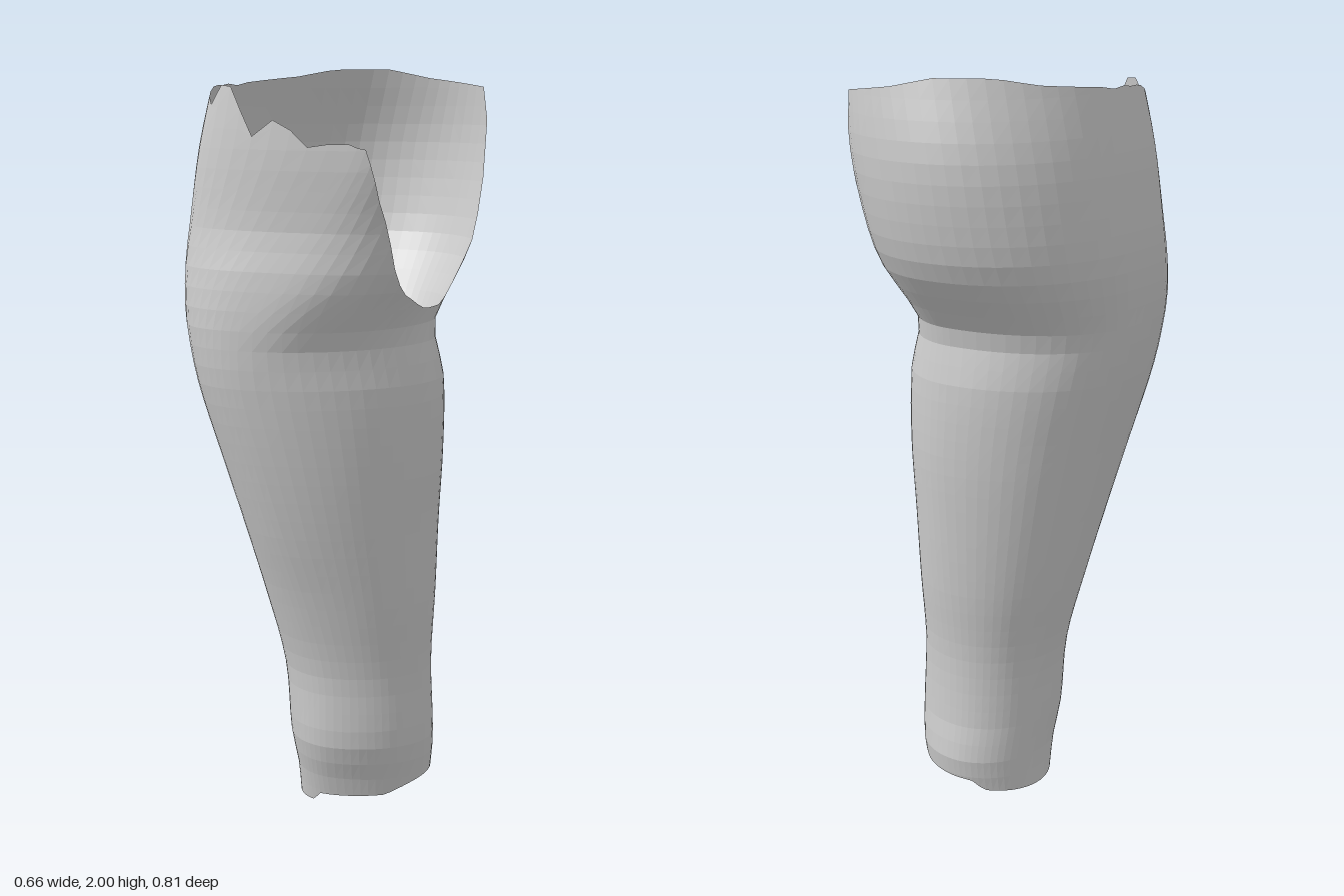
import * as THREE from 'three';

const { clamp, smoothstep } = THREE.MathUtils;

// Cross-sections: y, xMin, xMax, zBack, zFront, x of front point, x of back point, z of outer point, z of inner point
const SECTIONS = [
  [0.00, -0.09, 0.27, -0.20, 0.13, 0.06, 0.08, -0.03, 0.00],
  [0.10, -0.09, 0.285, -0.22, 0.16, 0.06, 0.08, -0.02, 0.00],
  [0.20, -0.10, 0.295, -0.205, 0.195, 0.07, 0.08, 0.00, 0.01],
  [0.40, -0.115, 0.29, -0.20, 0.205, 0.07, 0.08, 0.01, 0.02],
  [0.60, -0.16, 0.30, -0.22, 0.25, 0.04, 0.08, 0.02, 0.03],
  [0.80, -0.205, 0.305, -0.235, 0.305, 0.00, 0.08, 0.04, 0.03],
  [1.00, -0.25, 0.315, -0.245, 0.35, -0.04, 0.08, 0.06, 0.03],
  [1.20, -0.295, 0.315, -0.24, 0.385, -0.08, 0.07, 0.08, 0.03],
  [1.33, -0.317, 0.285, -0.222, 0.395, -0.08, 0.07, 0.09, 0.02],
  [1.40, -0.325, 0.305, -0.27, 0.395, -0.06, 0.06, 0.10, 0.01],
  [1.50, -0.33, 0.355, -0.352, 0.39, 0.00, 0.05, 0.10, 0.00],
  [1.60, -0.325, 0.39, -0.388, 0.38, 0.08, 0.06, 0.10, 0.00],
  [1.80, -0.295, 0.44, -0.405, 0.40, 0.22, 0.08, 0.10, 0.00],
  [2.00, -0.245, 0.45, -0.37, 0.40, 0.24, 0.14, 0.09, 0.00],
];

// Rims as [x, y]: torn front edge, gently curved back edge, uneven lower edge
const FRONT_RIM = [[-0.26, 1.96], [-0.2, 1.9], [-0.14, 1.98], [-0.04, 1.82], [0.03, 1.88], [0.12, 1.8], [0.2, 1.82], [0.3, 1.79]];
const BACK_RIM = [[-0.26, 1.96], [-0.1, 2], [0, 2], [0.15, 1.97], [0.33, 1.95]];
const LOWER_RIM = [[-0.09, 0], [0, 0.01], [0.03, 0.04], [0.2, 0.05], [0.27, 0.09]];

function findSpan(table, key) {
  let i = 0;
  while (i < table.length - 2 && table[i + 1][0] < key) i++;
  return i;
}

// Straight interpolation along a rim
function rimHeight(rim, x) {
  const i = findSpan(rim, x);
  const [x0, y0] = rim[i], [x1, y1] = rim[i + 1];
  return y0 + (y1 - y0) * clamp((x - x0) / (x1 - x0), 0, 1);
}

// Smooth (Hermite) interpolation between cross-sections
function sectionAt(y) {
  const i = findSpan(SECTIONS, y);
  const a = SECTIONS[i], b = SECTIONS[i + 1];
  const before = SECTIONS[Math.max(i - 1, 0)];
  const after = SECTIONS[Math.min(i + 2, SECTIONS.length - 1)];
  const h = b[0] - a[0], t = (y - a[0]) / h, t2 = t * t, t3 = t2 * t;
  return a.map((v, k) => {
    const m0 = ((b[k] - before[k]) / (b[0] - before[0])) * h;
    const m1 = ((after[k] - v) / (after[0] - a[0])) * h;
    return (2 * t3 - 3 * t2 + 1) * v + (t3 - 2 * t2 + t) * m0 + (3 * t2 - 2 * t3) * b[k] + (t3 - t2) * m1;
  });
}

// Roundness of a quarter: 2 is an ellipse, more is squarer
function roundness(y, front, outer) {
  if (front && outer) return 2 + 0.6 * smoothstep(y, 0.7, 1.5);
  if (front) return 1.8 + 1.2 * smoothstep(y, 1.27, 1.5);
  return outer ? 2 + 0.2 * smoothstep(y, 1, 1.5) : 2;
}

// Each section is four superelliptic quarters: outer side, front, inner side, back
function surfacePoint(angle, y) {
  const [, xMin, xMax, zBack, zFront, xf, xb, zOuter, zInner] = sectionAt(y);
  const c = Math.cos(angle), s = Math.sin(angle);
  const front = s >= 0, outer = c >= 0;
  const n = roundness(y, front, outer);
  const scale = (Math.abs(c) ** n + Math.abs(s) ** n) ** (-1 / n);
  const cx = front ? xf : xb, cz = outer ? zOuter : zInner;
  return new THREE.Vector3(
    cx + (outer ? xMin - cx : cx - xMax) * c * scale,
    y,
    cz + (front ? zFront - cz : cz - zBack) * s * scale,
  );
}

// Inner side is cut away beyond this x
function cutX(p) {
  if (p.z > 0) return 0.3 - 0.13 * Math.max(p.y - 1.6, 0);
  return p.z < -0.16 ? 0.33 : 0.3;
}

// Height at which a column meets the upper rim or the cut
function columnTop(angle) {
  for (let y = 1.36; y < 2; y += 0.004) {
    const p = surfacePoint(angle, y);
    if (p.x > cutX(p) || y > rimHeight(p.z > 0 ? FRONT_RIM : BACK_RIM, p.x)) return y;
  }
  return 2;
}

function legGeometry() {
  const columns = 60, rows = 40;
  const grid = [];
  for (let j = 0; j < columns; j++) {
    const angle = (j / columns) * Math.PI * 2;
    const top = columnTop(angle);
    const bottom = rimHeight(LOWER_RIM, surfacePoint(angle, 0).x);
    const column = [];
    for (let i = 0; i <= rows; i++) {
      column.push(surfacePoint(angle, clamp((2 * i) / rows, bottom, top)));
    }
    grid.push(column);
  }
  const positions = [];
  const triangle = (a, b, c) => {
    if (a.equals(b) || b.equals(c) || a.equals(c)) return;
    for (const p of [a, b, c]) positions.push(p.x, p.y, p.z);
  };
  for (let j = 0; j < columns; j++) {
    const a = grid[j], b = grid[(j + 1) % columns];
    for (let i = 0; i < rows; i++) {
      triangle(a[i], b[i], b[i + 1]);
      triangle(a[i], b[i + 1], a[i + 1]);
    }
  }
  const geometry = new THREE.BufferGeometry();
  geometry.setAttribute('position', new THREE.Float32BufferAttribute(positions, 3));
  geometry.computeVertexNormals();
  return geometry;
}

export function createModel() {
  const group = new THREE.Group();
  group.name = 'legShell';
  // Open, thin shell: visible from inside and outside
  const material = new THREE.MeshStandardMaterial({ color: 0xcccccc, flatShading: true, side: THREE.DoubleSide });
  const leg = new THREE.Mesh(legGeometry(), material);
  leg.name = 'legSurface';
  group.add(leg);
  return group;
}
